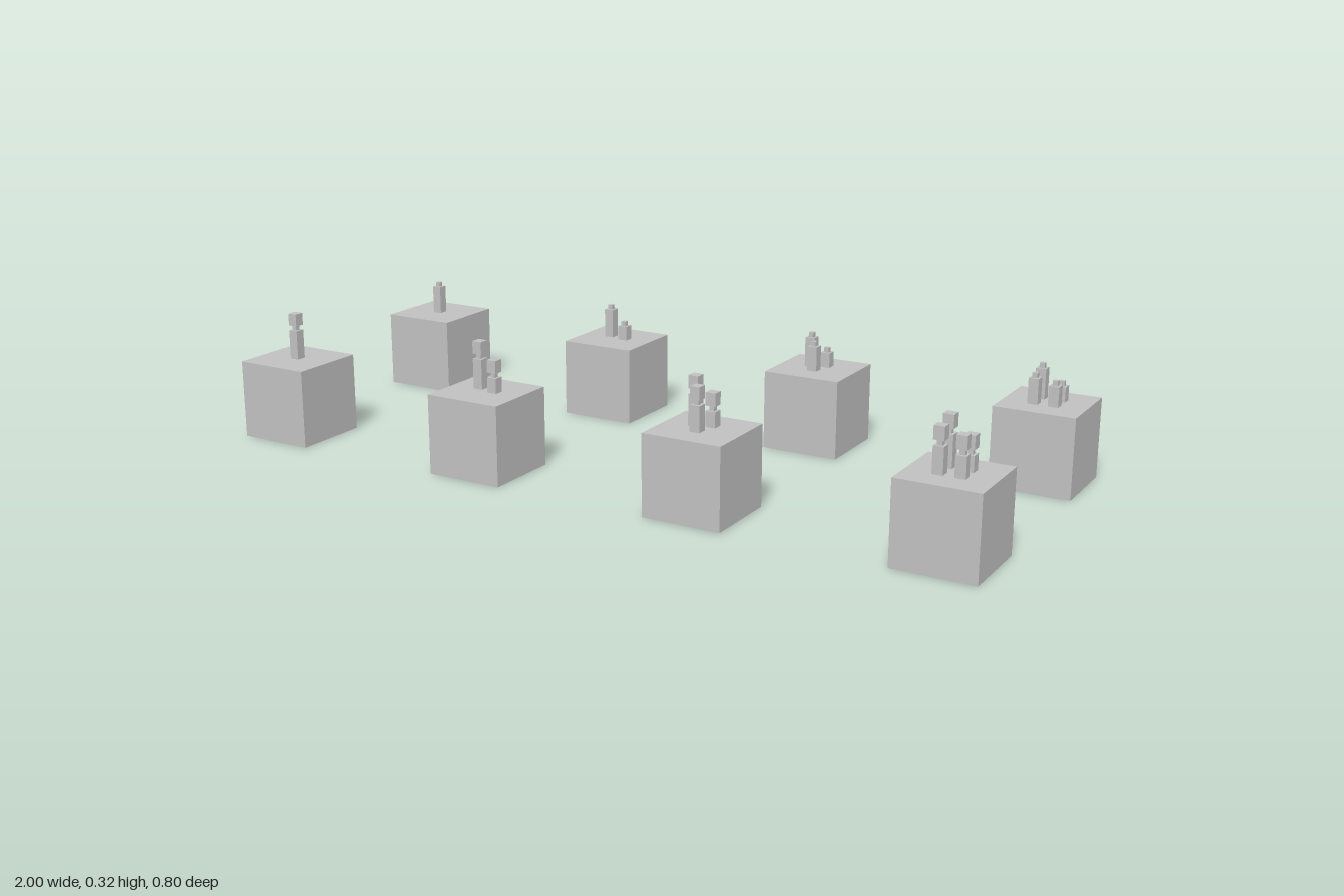
import * as THREE from 'three';

// Tower layouts per tile, one to four towers: [x offset, z offset, body height]
const LAYOUTS = [
  [[0, 0, 0.075]],
  [[-0.025, -0.0125, 0.075], [0.025, 0, 0.0375]],
  [[-0.025, -0.0125, 0.075], [0.0125, -0.025, 0.0375], [0, 0.025, 0.0625]],
  [[-0.025, -0.025, 0.075], [0.025, -0.025, 0.0375], [-0.025, 0.025, 0.0625], [0.025, 0.025, 0.05]],
];

const TILE = 0.2, WIDE = 0.025, NARROW = 0.0125, NECK = 0.0125, HEAD = 0.03125;

export function createModel() {
  const model = new THREE.Group();
  model.name = 'towerTiles';
  const grey = new THREE.MeshStandardMaterial({ color: 0xc0c0c0 });
  grey.name = 'light grey';

  // Box standing on height y
  function block(parent, name, width, height, y) {
    const geometry = new THREE.BoxGeometry(width, height, width);
    geometry.translate(0, y + height / 2, 0);
    const mesh = new THREE.Mesh(geometry, grey);
    mesh.name = name;
    parent.add(mesh);
  }

  // Body with a thin neck, and a wide head on the front row only
  function tower(height, hasHead) {
    const group = new THREE.Group();
    group.name = hasHead ? 'headedTower' : 'plainTower';
    block(group, 'towerBody', WIDE, height, 0);
    block(group, 'towerNeck', NARROW, NECK, height);
    if (hasHead) block(group, 'towerHead', WIDE, HEAD, height + NECK);
    return group;
  }

  for (const z of [0.3, -0.3]) {
    LAYOUTS.forEach((layout, i) => {
      const tile = new THREE.Group();
      tile.name = 'tile';
      tile.position.set(-0.9 + i * 0.6, 0, z);
      block(tile, 'baseCube', TILE, TILE, 0);
      for (const [dx, dz, height] of layout) {
        const t = tower(height, z > 0);
        t.position.set(dx, TILE, dz);
        tile.add(t);
      }
      model.add(tile);
    });
  }
  return model;
}
